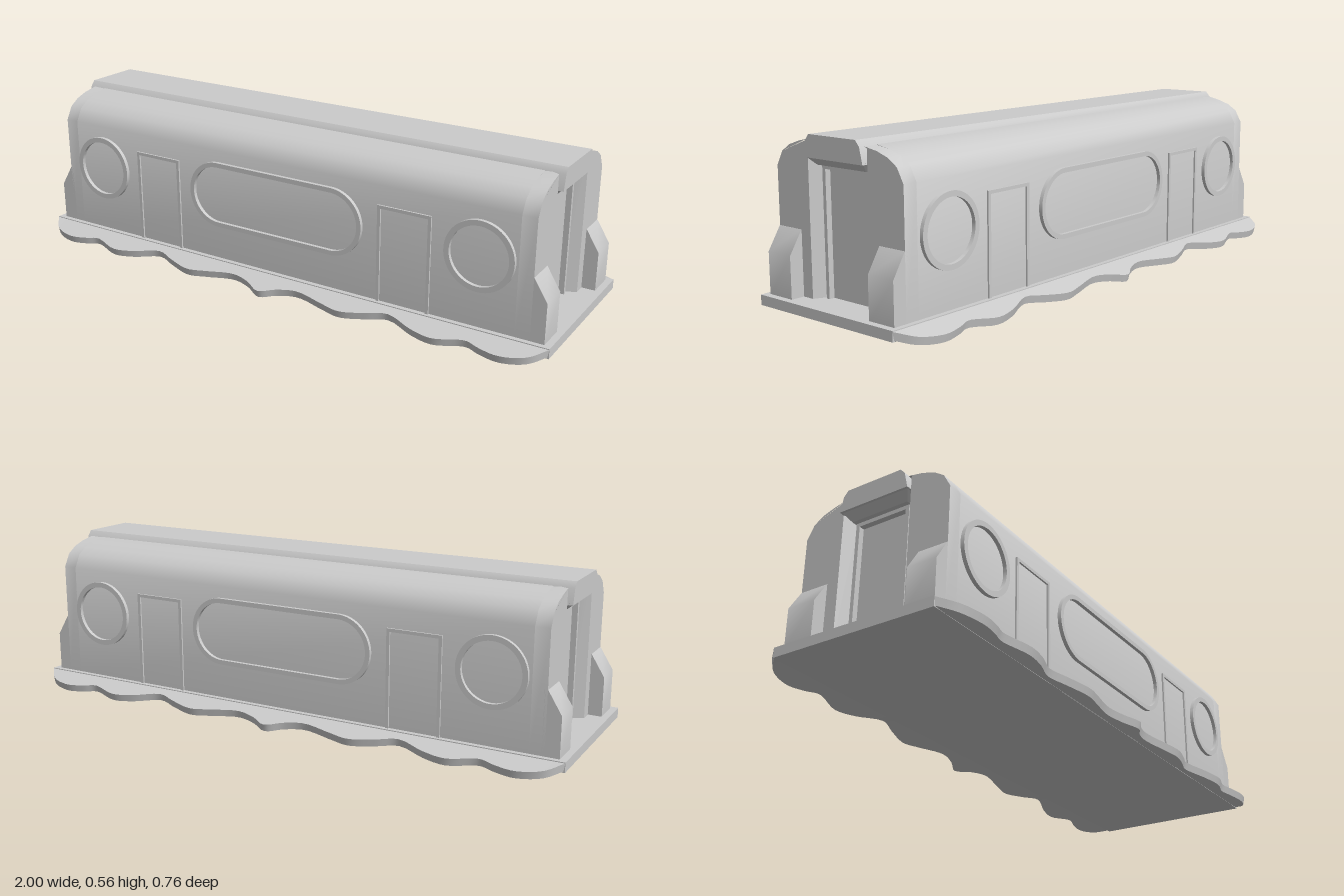
import * as THREE from 'three';
import { toCreasedNormals } from 'three/addons/utils/BufferGeometryUtils.js';

const grey = new THREE.MeshStandardMaterial({ color: 0xcccccc });

function add(parent, name, geometry) {
  const mesh = new THREE.Mesh(toCreasedNormals(geometry, 0.6), grey);
  mesh.name = name;
  parent.add(mesh);
  return mesh;
}

const polygon = (points) => new THREE.Shape(points.map(([a, b]) => new THREE.Vector2(a, b)));

function extrude(shape, depth) {
  return new THREE.ExtrudeGeometry(shape, { depth, bevelEnabled: false, curveSegments: 20 });
}

// Extrudes a (-z, y) section along x from x0 to x1
function alongX(points, x0, x1) {
  return extrude(polygon(points), x1 - x0).rotateY(Math.PI / 2).translate(x0, 0, 0);
}

function box(x0, x1, y0, y1, z0, z1) {
  return new THREE.BoxGeometry(x1 - x0, y1 - y0, z1 - z0)
    .translate((x0 + x1) / 2, (y0 + y1) / 2, (z0 + z1) / 2);
}

// Moves every vertex by a rule
function reshape(geometry, rule) {
  const p = geometry.attributes.position;
  const v = new THREE.Vector3();
  for (let i = 0; i < p.count; i++) {
    v.fromBufferAttribute(p, i);
    rule(v);
    p.setXYZ(i, v.x, v.y, v.z);
  }
  geometry.computeVertexNormals();
  return geometry;
}

// Capsule outline; half = distance from the middle to each arc centre
function capsule(half, r, target = new THREE.Shape()) {
  target.absarc(half, 0, r, -Math.PI / 2, Math.PI / 2, false);
  target.absarc(-half, 0, r, Math.PI / 2, Math.PI * 1.5, false);
  target.closePath();
  return target;
}

function windowFrame(half, thickness) {
  const shape = capsule(half, 0.117);
  shape.holes.push(capsule(half, 0.117 - thickness, new THREE.Path()));
  return extrude(shape, 0.02);
}

// Frame open at the bottom, standing on y = 0
function doorFrame(halfWidth, height, t, depth) {
  return extrude(polygon([
    [-halfWidth, 0], [-halfWidth + t, 0], [-halfWidth + t, height - t], [halfWidth - t, height - t],
    [halfWidth - t, 0], [halfWidth, 0], [halfWidth, height], [-halfWidth, height],
  ]), depth);
}

// Sloping skirt with a wavy outer edge, swept in cross-sections along x
function skirtGeometry() {
  const half = [[0, 0.38], [0.06, 0.352], [0.13, 0.336], [0.24, 0.358], [0.31, 0.37], [0.4, 0.347],
    [0.47, 0.325], [0.57, 0.36], [0.65, 0.373], [0.75, 0.345], [0.8, 0.359], [0.87, 0.369],
    [0.95, 0.345], [1, 0.292]];
  const all = [...half.slice(1).reverse().map(([x, z]) => [-x, z]), ...half];
  const curve = new THREE.CatmullRomCurve3(all.map(([x, z]) => new THREE.Vector3(x, 0, z)), false, 'centripetal');
  const edge = curve.getPoints(108);
  const position = [];
  const index = [];
  for (const { x, z } of edge) {
    const y = 0.052 - (z - 0.288) * 0.295;
    position.push(x, 0.052, 0.285, x, y, z, x, y - 0.025, z - 0.006, x, 0.024, 0.279);
  }
  for (let i = 0; i < edge.length - 1; i++) {
    for (let k = 0; k < 4; k++) {
      const a = i * 4 + k, b = i * 4 + (k + 1) % 4;
      index.push(a, b, a + 4, b, b + 4, a + 4);
    }
  }
  const e = (edge.length - 1) * 4;
  index.push(0, 2, 1, 0, 3, 2, e, e + 1, e + 2, e, e + 2, e + 3);
  const g = new THREE.BufferGeometry();
  g.setAttribute('position', new THREE.Float32BufferAttribute(position, 3));
  g.setIndex(index);
  g.computeVertexNormals();
  return g;
}

// One long side: skirt, windows and doors
function createSide() {
  const side = new THREE.Group();
  side.name = 'side';
  add(side, 'wavySkirt', skirtGeometry());
  add(side, 'longWindowFrame', windowFrame(0.228, 0.016).translate(0, 0.293, 0.268));
  for (const s of [-1, 1]) {
    add(side, 'roundWindowFrame', windowFrame(0.0001, 0.018).translate(s * 0.755, 0.293, 0.268));
    add(side, 'sideDoorFrame', doorFrame(0.095, 0.335, 0.011, 0.02).translate(s * 0.495, 0.05, 0.261));
  }
  return side;
}

// One end: tapered recess, doorway, hood and corner buttresses
function createEnd(roof) {
  const end = new THREE.Group();
  end.name = 'end';
  for (const s of [-1, 1]) {
    const wall = [[0.13, 0.05], ...roof, [0.13, 0.54]];
    const cheek = reshape(alongX(wall, 0.88, 0.93), (v) => {
      if (v.x < 0.9 && v.z > -0.131) v.z = -0.105;
    });
    if (s > 0) cheek.rotateY(Math.PI).translate(1.81, 0, 0);
    if (s > 0) {
      // Rotation swaps the depth direction, so taper the opposite cheek anew
      reshape(cheek, (v) => {
        if (v.z < 0.131) v.z = v.x < 0.9 ? 0.105 : 0.13;
      });
    }
    add(end, 'endCheek', cheek);
    const buttress = extrude(polygon([
      [0.92, 0.05], [0.977, 0.05], [0.977, 0.188], [0.931, 0.262], [0.92, 0.262],
    ]), 0.103).translate(0, 0, s > 0 ? 0.172 : -0.275);
    add(end, 'cornerButtress', buttress);
  }
  add(end, 'endDoorFrame', doorFrame(0.102, 0.415, 0.013, 0.03)
    .rotateY(Math.PI / 2).translate(0.87, 0.05, 0));
  // Hood underside narrows downward and inward
  add(end, 'doorHood', reshape(box(0.86, 0.945, 0.465, 0.495, -0.129, 0.129), (v) => {
    if (v.y < 0.48) {
      v.z *= 0.82;
      if (v.x > 0.9) v.x = 0.915;
    }
  }));
  return end;
}

export function createModel() {
  const model = new THREE.Group();
  model.name = 'railCar';

  // Half section of the wall and rounded roof
  const roof = [[0.275, 0.05], [0.275, 0.45], [0.25, 0.495], [0.215, 0.518], [0.17, 0.533], [0.115, 0.542]];
  const mirrored = roof.map(([z, y]) => [-z, y]).reverse();
  add(model, 'body', alongX([...roof, ...mirrored], -0.881, 0.881));

  // Raised strip running along the roof
  add(model, 'roofRidge', alongX([
    [0.13, 0.49], [0.118, 0.541], [0.102, 0.56], [-0.102, 0.56], [-0.118, 0.541], [-0.13, 0.49],
  ], -0.948, 0.948));

  add(model, 'deck', box(-1, 1, 0.02, 0.053, -0.292, 0.292));

  for (const turn of [0, Math.PI]) {
    const side = createSide();
    const end = createEnd(roof);
    side.rotation.y = end.rotation.y = turn;
    model.add(side, end);
  }
  return model;
}
